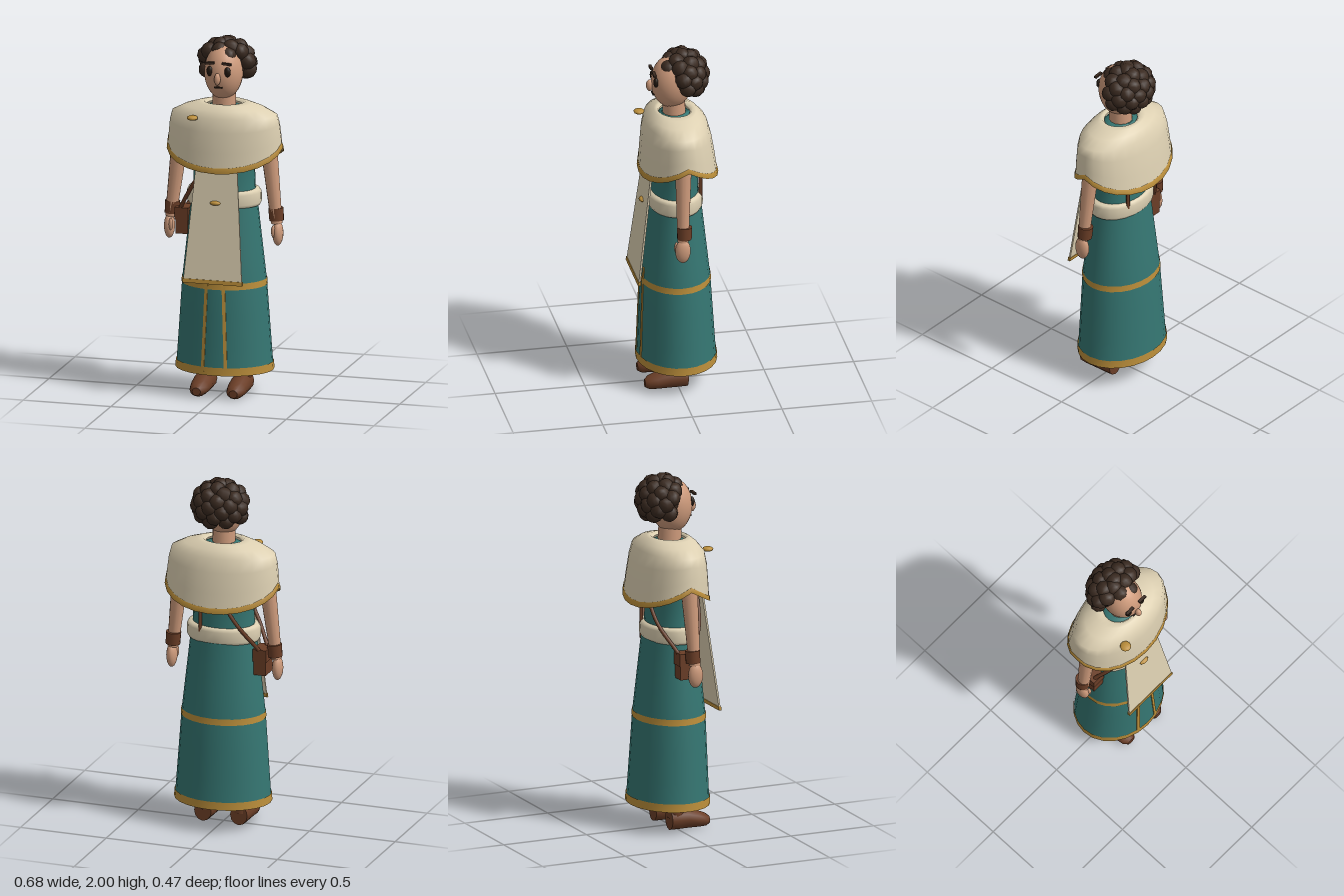
import * as THREE from 'three';

const mat = (name, color, side = THREE.FrontSide) => {
  const m = new THREE.MeshStandardMaterial({ color, side });
  m.name = name;
  return m;
};

// Elliptical rings [y, rx, rz, cz, dip] joined into a smooth skin; dip lowers the front and back
function loft(rings, { n = 24, capStart = false, capEnd = false } = {}) {
  const pos = [], idx = [];
  for (const [y, rx, rz, cz = 0, dip = 0] of rings) {
    for (let i = 0; i < n; i++) {
      const a = (i / n) * Math.PI * 2;
      pos.push(rx * Math.cos(a), y - dip * Math.abs(Math.sin(a)), cz + rz * Math.sin(a));
    }
  }
  for (let r = 0; r < rings.length - 1; r++) {
    for (let i = 0; i < n; i++) {
      const a = r * n + i, b = r * n + (i + 1) % n;
      idx.push(a, a + n, b, b, a + n, b + n);
    }
  }
  const cap = (r, flip) => {
    const c = pos.length / 3, base = c;
    for (let i = 0; i < n; i++) pos.push(...pos.slice((r * n + i) * 3, (r * n + i) * 3 + 3));
    pos.push(0, rings[r][0], rings[r][3] || 0);
    for (let i = 0; i < n; i++) {
      const p = base + i, q = base + (i + 1) % n;
      flip ? idx.push(c + n, q, p) : idx.push(c + n, p, q);
    }
  };
  if (capStart) cap(0, false);
  if (capEnd) cap(rings.length - 1, true);
  const g = new THREE.BufferGeometry();
  g.setAttribute('position', new THREE.Float32BufferAttribute(pos, 3));
  g.setIndex(idx);
  g.computeVertexNormals();
  return g;
}

const lerp = THREE.MathUtils.lerp;
const SKIRT = [[0.14, 0.27, 0.218, -0.01], [0.64, 0.235, 0.192, -0.003], [1.12, 0.182, 0.142, 0]];

// Skirt ring at a height, grown outward by a small amount
function skirtRing(y, grow = 0) {
  const [a, b] = y < 0.64 ? [SKIRT[0], SKIRT[1]] : [SKIRT[1], SKIRT[2]];
  const t = (y - a[0]) / (b[0] - a[0]);
  return [y, lerp(a[1], b[1], t) + grow, lerp(a[2], b[2], t) + grow, lerp(a[3], b[3], t)];
}

export function createModel() {
  const group = new THREE.Group();
  const teal = mat('teal cloth', 0x357672, THREE.DoubleSide);
  const cream = mat('cream cloth', 0xddd0b2, THREE.DoubleSide);
  const gold = mat('gold trim', 0xbb8e3a, THREE.DoubleSide);
  const skin = mat('skin', 0xcd9a7b);
  const hair = mat('dark hair', 0x3a2a20);
  const leather = mat('brown leather', 0x6b3e27);
  const dark = mat('face dark', 0x21170f);

  const add = (name, geo, material, x = 0, y = 0, z = 0) => {
    const m = new THREE.Mesh(geo, material);
    m.name = name;
    m.position.set(x, y, z);
    group.add(m);
    return m;
  };
  const ball = (name, material, p, r, w = 16, h = 12) =>
    add(name, new THREE.SphereGeometry(1, w, h).scale(...r), material, ...p);
  const rod = (name, material, a, b, ra, rb, sides = 14) => {
    const A = new THREE.Vector3(...a), B = new THREE.Vector3(...b);
    const d = B.clone().sub(A), mid = A.clone().add(B).multiplyScalar(0.5);
    const m = add(name, new THREE.CylinderGeometry(rb, ra, d.length(), sides), material, mid.x, mid.y, mid.z);
    m.quaternion.setFromUnitVectors(new THREE.Vector3(0, 1, 0), d.normalize());
    return m;
  };

  // Skirt with hem, middle band and two front stripes
  add('skirt', loft([0.14, 0.3, 0.47, 0.64, 0.8, 0.96, 1.12].map((y) => skirtRing(y))), teal);
  add('hemBand', loft([skirtRing(0.14, 0.005), skirtRing(0.185, 0.005)]), gold);
  add('middleBand', loft([skirtRing(0.62, 0.003), skirtRing(0.655, 0.003)]), gold);
  for (const s of [-1, 1]) {
    const g = new THREE.BoxGeometry(0.018, 0.55, 0.008, 1, 8, 1).translate(0, 0.435, 0);
    const p = g.attributes.position;
    for (let i = 0; i < p.count; i++) {
      const y = p.getY(i), [, rx, rz, cz] = skirtRing(y);
      const x = p.getX(i) + s * lerp(0.066, 0.048, (y - 0.16) / 0.5);
      p.setXYZ(i, x, y, p.getZ(i) + cz + rz * Math.sqrt(1 - (x / rx) ** 2));
    }
    g.computeVertexNormals();
    add('skirtStripe', g, gold);
  }

  // Tunic and sash
  add('tunic', loft([[1.08, 0.178, 0.136], [1.18, 0.174, 0.128], [1.3, 0.17, 0.125], [1.45, 0.2, 0.13],
    [1.56, 0.18, 0.115], [1.61, 0.11, 0.09], [1.625, 0.07, 0.07]], { capEnd: true }), teal);
  add('sash', loft([[1.065, 0.18, 0.13], [1.068, 0.2, 0.143], [1.085, 0.209, 0.153], [1.14, 0.208, 0.153],
    [1.157, 0.198, 0.143], [1.16, 0.17, 0.125]]), cream);

  // Shoulder cape with a rim that dips at front and back
  add('cape', loft([[1.4, 0.323, 0.212, -0.018, 0.12], [1.46, 0.318, 0.202, -0.014, 0.075],
    [1.53, 0.31, 0.188, -0.009, 0.03], [1.575, 0.297, 0.17, -0.006], [1.612, 0.225, 0.142, -0.005],
    [1.634, 0.15, 0.115, -0.004], [1.642, 0.115, 0.097, -0.003], [1.625, 0.098, 0.085]]), cream);
  add('capeTrim', loft([[1.396, 0.324, 0.213, -0.018, 0.12], [1.395, 0.329, 0.218, -0.018, 0.12],
    [1.422, 0.326, 0.213, -0.017, 0.118], [1.422, 0.318, 0.206, -0.016, 0.116]]), gold);
  ball('brooch', gold, [-0.133, 1.576, 0.17], [0.031, 0.014, 0.031], 10, 8);

  // Front panel, widening and leaning outward toward its trimmed end
  const panelZ = (y) => lerp(0.228, 0.148, (y - 0.67) / 0.65);
  const panel = (name, y0, y1, depth, material, grow) => {
    const g = new THREE.BoxGeometry(2, y1 - y0, depth, 4, 6, 1).translate(0, (y0 + y1) / 2, 0);
    const p = g.attributes.position;
    for (let i = 0; i < p.count; i++) {
      const y = p.getY(i);
      p.setX(i, p.getX(i) * (lerp(0.167, 0.118, (y - 0.67) / 0.63) + grow));
      p.setZ(i, p.getZ(i) + panelZ(y));
    }
    g.computeVertexNormals();
    add(name, g, material);
  };
  panel('frontPanel', 0.675, 1.34, 0.01, cream, 0);
  panel('panelTrim', 0.662, 0.684, 0.016, gold, 0.003);
  ball('sashStud', gold, [0, 1.106, 0.178], [0.031, 0.013, 0.02], 10, 8);

  // Arms, cuffs, hands, legs and shoes
  for (const s of [-1, 1]) {
    rod('arm', skin, [s * 0.242, 1.5, -0.002], [s * 0.302, 0.975, 0.012], 0.05, 0.031);
    rod('cuff', leather, [s * 0.294, 1.06, 0.002], [s * 0.299, 0.99, 0.004], 0.042, 0.04);
    ball('hand', skin, [s * 0.309, 0.92, 0.014], [0.029, 0.07, 0.043]);
    ball('thumb', skin, [s * 0.292, 0.935, 0.046], [0.013, 0.035, 0.014], 8, 6);
    rod('leg', leather, [s * 0.105, 0.07, -0.01], [s * 0.1, 0.7, 0], 0.048, 0.06);
    const shoe = loft([[-0.05, 0.05, 0.058, -0.06], [0.0, 0.054, 0.06, -0.061], [0.05, 0.056, 0.058, -0.06],
      [0.12, 0.055, 0.046, -0.048], [0.165, 0.045, 0.036, -0.04], [0.187, 0.024, 0.022, -0.036]],
    { n: 12, capStart: true, capEnd: true }).rotateX(Math.PI / 2);
    add('shoe', shoe, leather, s * 0.105, 0, 0);
  }

  // Satchel with flap, slung across the body
  add('satchel', new THREE.BoxGeometry(0.07, 0.145, 0.11), leather, -0.228, 0.96, 0);
  add('satchelFlap', new THREE.BoxGeometry(0.078, 0.07, 0.118), leather, -0.228, 1.0, 0);
  const strap = (name, pts, r) => add(name, new THREE.TubeGeometry(
    new THREE.CatmullRomCurve3(pts.map((p) => new THREE.Vector3(...p))), 24, r, 8), leather);
  strap('frontStrap', [[-0.24, 1.03, 0.04], [-0.15, 1.18, 0.11], [-0.02, 1.37, 0.138], [0.1, 1.55, 0.11]], 0.011);
  strap('backStrap', [[-0.225, 1.03, -0.05], [-0.12, 1.2, -0.135], [-0.01, 1.38, -0.145], [0.1, 1.55, -0.11]], 0.011);
  strap('backCord', [[0.09, 1.13, -0.128], [0.09, 1.3, -0.128], [0.09, 1.5, -0.128]], 0.01);

  // Head and face
  rod('neck', skin, [0, 1.58, 0], [0, 1.73, 0.005], 0.066, 0.062);
  ball('head', skin, [0, 1.81, 0.015], [0.106, 0.152, 0.115], 24, 18);
  ball('nose', skin, [0, 1.795, 0.138], [0.018, 0.034, 0.021], 10, 8);
  add('mouth', new THREE.BoxGeometry(0.046, 0.009, 0.009), dark, 0, 1.745, 0.12);
  for (const s of [-1, 1]) {
    ball('eye', dark, [s * 0.05, 1.832, 0.112], [0.019, 0.028, 0.015], 12, 10);
    const brow = add('eyebrow', new THREE.BoxGeometry(0.052, 0.012, 0.016), hair, s * 0.048, 1.88, 0.122);
    brow.rotation.z = -s * 0.08;
  }

  // Curly hair: rounded curls spread evenly over a cap, leaving the face clear
  ball('hairCap', hair, [0, 1.85, -0.045], [0.122, 0.11, 0.108]);
  const curls = 54;
  for (let i = 0; i < curls; i++) {
    const y = 1 - (2 * i) / (curls - 1), r = Math.sqrt(1 - y * y), a = i * 2.39996;
    const x = r * Math.cos(a), z = r * Math.sin(a);
    if (y < -0.72 || (z > 0.3 + 0.4 * y && y < 0.58)) continue;
    const c = ball('curl', hair, [0.127 * x, 1.845 + 0.107 * y, -0.044 + 0.105 * z], [0.048, 0.048, 0.048], 9, 7);
    if (i) c.rotation.set(i, i * 2, 0);
  }
  return group;
}
